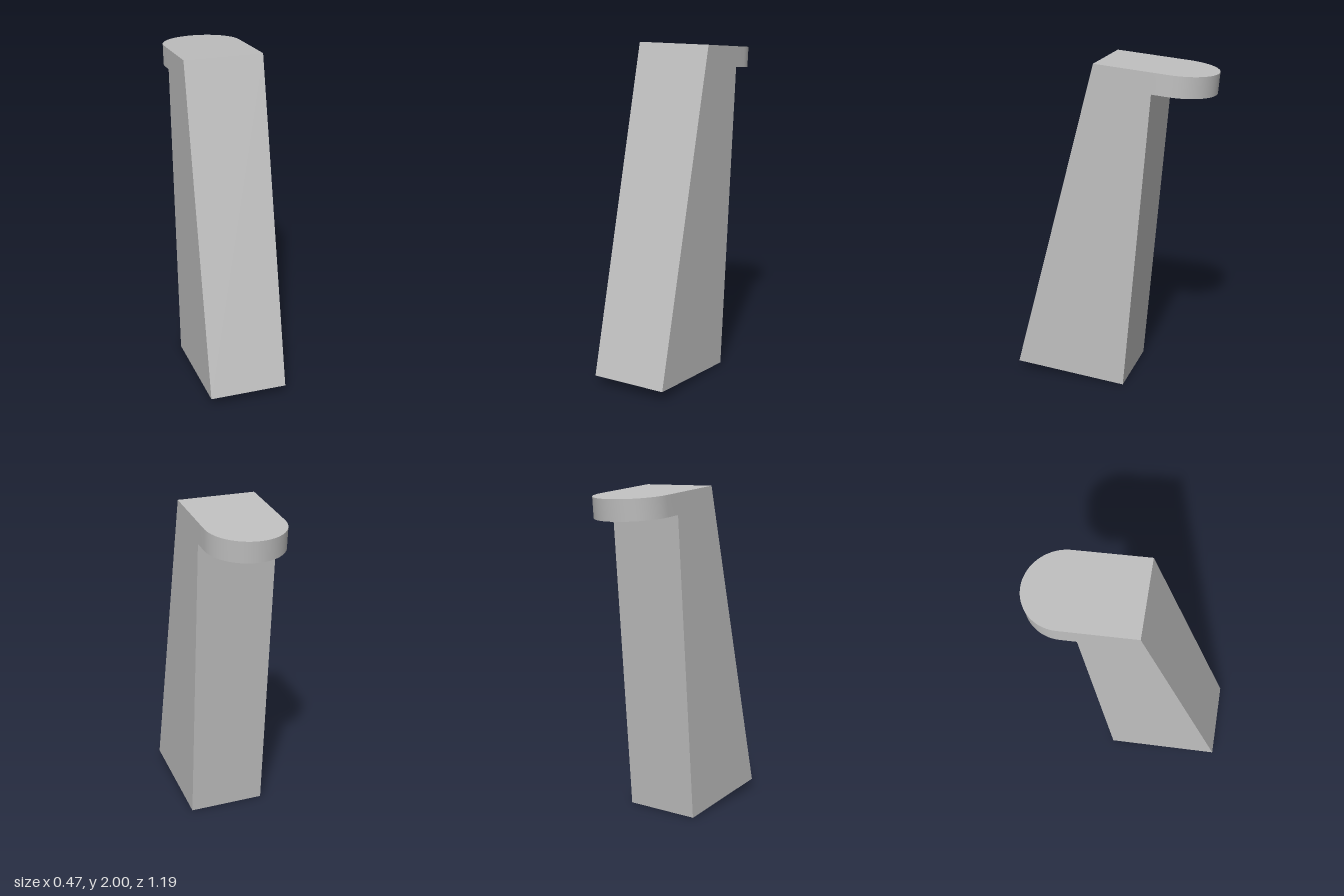
import * as THREE from 'three';
import { toCreasedNormals } from 'three/addons/utils/BufferGeometryUtils.js';

const HALF_WIDTH = 0.235;
const HEIGHT = 1.977;
const LIP_THICKNESS = 0.124;
const LIP_STRAIGHT = 0.092;

export function createModel() {
  const grey = new THREE.MeshStandardMaterial({ color: 0xc0c0c0 });
  grey.name = 'light grey';

  // Tapered post: side profile (depth, height) extruded across the width
  const profile = new THREE.Shape([
    new THREE.Vector2(0, 0),
    new THREE.Vector2(0.695, 0),
    new THREE.Vector2(0.351, HEIGHT),
    new THREE.Vector2(0, HEIGHT),
  ]);
  const postGeometry = new THREE.ExtrudeGeometry(profile, { depth: 2 * HALF_WIDTH, bevelEnabled: false });
  postGeometry.translate(0, 0, -HALF_WIDTH).rotateY(-Math.PI / 2);
  const post = new THREE.Mesh(postGeometry, grey);
  post.name = 'taperedPost';

  // Round-ended lip overhanging the back at the top
  const outline = new THREE.Shape();
  outline.moveTo(-HALF_WIDTH, 0);
  outline.lineTo(HALF_WIDTH, 0);
  outline.lineTo(HALF_WIDTH, LIP_STRAIGHT);
  outline.absarc(0, LIP_STRAIGHT, HALF_WIDTH, 0, Math.PI, false);
  const lipGeometry = new THREE.ExtrudeGeometry(outline, {
    depth: LIP_THICKNESS, bevelEnabled: false, curveSegments: 20,
  });
  lipGeometry.rotateX(-Math.PI / 2).translate(0, HEIGHT - LIP_THICKNESS, 0);
  const lip = new THREE.Mesh(toCreasedNormals(lipGeometry, 0.5), grey);
  lip.name = 'roundedLip';

  // The whole piece leans back by five degrees
  const leaning = new THREE.Group();
  leaning.name = 'leaningBody';
  leaning.add(post, lip);
  leaning.rotation.x = -THREE.MathUtils.degToRad(5);
  leaning.position.z = -0.097;

  const model = new THREE.Group();
  model.name = 'postWithLip';
  model.add(leaning);
  return model;
}
